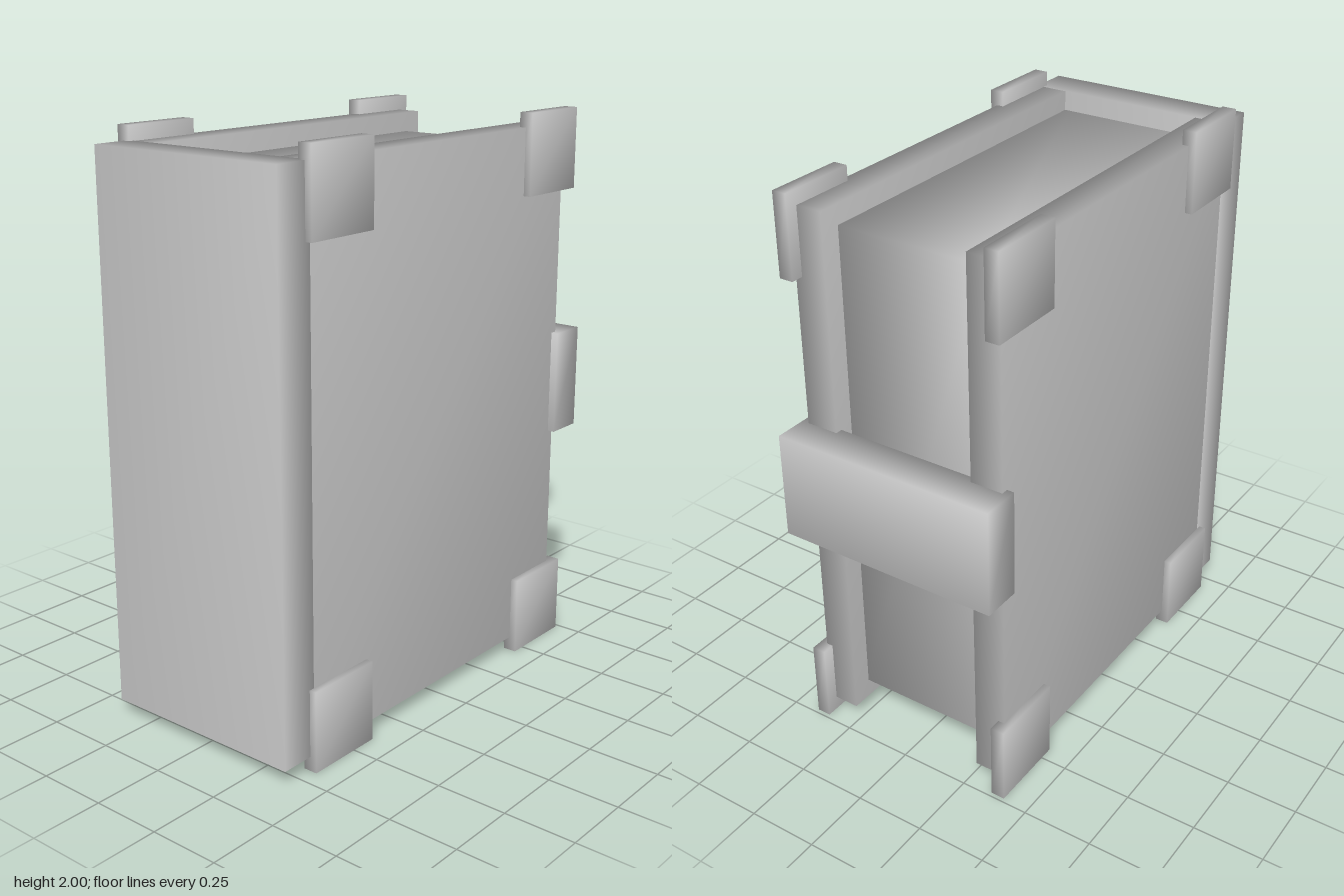
import * as THREE from 'three';
import { mergeVertices } from 'three/addons/utils/BufferGeometryUtils.js';

const grey = new THREE.MeshStandardMaterial({ color: 0xcccccc });
grey.name = 'light grey';

// Box given by its limits, with corners shared so that shading runs smoothly over the edges
function softBox(name, [x0, x1], [y0, y1], [z0, z1]) {
  let geometry = new THREE.BoxGeometry(x1 - x0, y1 - y0, z1 - z0);
  geometry.deleteAttribute('normal');
  geometry.deleteAttribute('uv');
  geometry = mergeVertices(geometry);
  geometry.computeVertexNormals();
  const mesh = new THREE.Mesh(geometry, grey);
  mesh.name = name;
  mesh.position.set((x0 + x1) / 2, (y0 + y1) / 2, (z0 + z1) / 2);
  return mesh;
}

export function createModel() {
  const book = new THREE.Group();
  book.name = 'book';

  // Spine and page block
  book.add(softBox('spine', [-0.81, -0.67], [0.05, 1.95], [-0.38, 0.38]));
  book.add(softBox('pages', [-0.74, 0.615], [0.12, 1.88], [-0.27, 0.27]));

  // Covers, tucked slightly inside the spine's faces
  book.add(softBox('frontCover', [-0.74, 0.69], [0.051, 1.949], [0.263, 0.379]));
  book.add(softBox('backCover', [-0.74, 0.69], [0.051, 1.949], [-0.379, -0.263]));

  // Clasp across the open edge
  book.add(softBox('clasp', [0.665, 0.805], [0.815, 1.19], [-0.405, 0.405]));

  // Corner guards on both covers
  for (const [face, z] of [['front', [0.355, 0.405]], ['back', [-0.405, -0.355]]]) {
    for (const [side, x] of [['Spine', [-0.69, -0.405]], ['Edge', [0.45, 0.735]]]) {
      for (const [level, y] of [['Lower', [0, 0.285]], ['Upper', [1.715, 2]]]) {
        book.add(softBox(`${face}${level}${side}Corner`, x, y, z));
      }
    }
  }
  return book;
}
